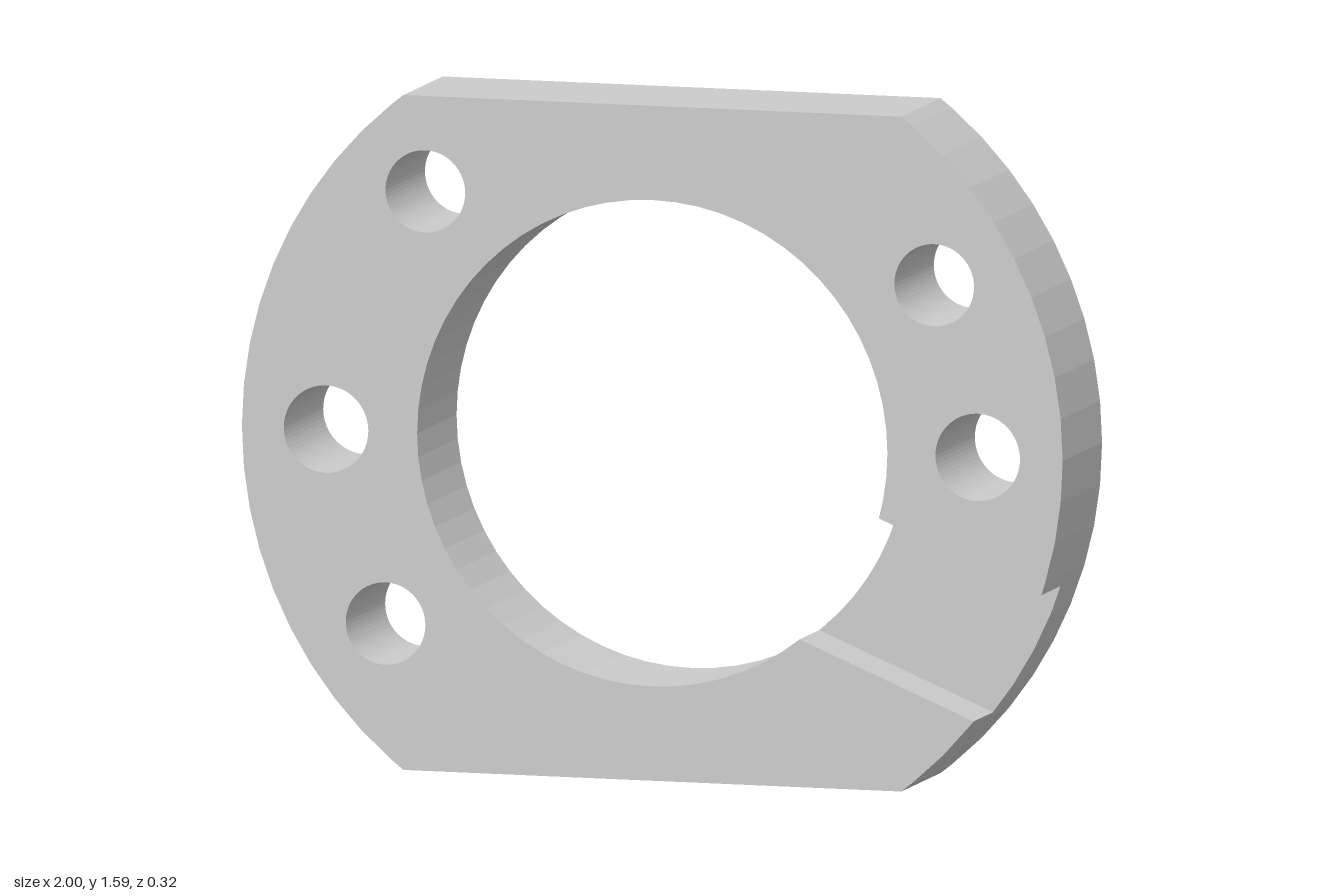
import * as THREE from 'three';

const CY = 0.795, R = 1, BORE = 0.573, HALF = 0.158;
const STEP = Math.PI / 32;
const FLAT = Math.asin(CY / R); // angle where the rim meets the flats
const SLOT_DIR = -Math.PI / 8, SLOT_TOP = 0.069, SLOT_BOTTOM = -0.2755;

// Points along an arc, on a fixed angular grid plus the exact ends
function arc(r, from, to, cx = 0, cy = CY) {
  const s = Math.sign(to - from), angles = [from];
  for (let k = Math.floor((s * from) / STEP) + 1; k * STEP < s * to - 1e-6; k++) {
    if (k * STEP > s * from + 1e-6) angles.push(s * k * STEP);
  }
  angles.push(to);
  return angles.map(a => new THREE.Vector2(cx + r * Math.cos(a), cy + r * Math.sin(a)));
}

// Angle at which a slot wall with the given offset crosses a circle
const slotAngle = (offset, r) => SLOT_DIR + Math.asin(offset / r);

function addHoles(shape) {
  const holes = [
    [-0.795, 0.795, 0.103], [0.793, 0.795, 0.103],
    [-0.553, 1.365, 0.097], [0.687, 1.196, 0.097], [-0.65, 0.343, 0.097],
  ];
  for (const [x, y, r] of holes) {
    shape.holes.push(new THREE.Path(arc(r, 0, 2 * Math.PI, x, y).slice(0, -1)));
  }
  return shape;
}

function layer(name, shape, z, material) {
  const geometry = new THREE.ExtrudeGeometry(addHoles(shape), { depth: HALF, bevelEnabled: false });
  geometry.translate(0, 0, z);
  const mesh = new THREE.Mesh(geometry, material);
  mesh.name = name;
  return mesh;
}

export function createModel() {
  const group = new THREE.Group();
  group.name = 'flangeRing';
  const material = new THREE.MeshStandardMaterial({ color: 0xcccccc, flatShading: true });

  // Back half: full ring with flats at top and bottom
  const back = new THREE.Shape([
    ...arc(R, -FLAT, FLAT),
    ...arc(R, Math.PI - FLAT, Math.PI + FLAT),
  ]);
  back.holes.push(new THREE.Path(arc(BORE, 0, 2 * Math.PI).slice(0, -1)));
  group.add(layer('backRing', back, -HALF, material));

  // Front half: same ring, cut through by the slanted slot
  const front = new THREE.Shape([
    ...arc(R, slotAngle(SLOT_TOP, R), FLAT),
    ...arc(R, Math.PI - FLAT, Math.PI + FLAT),
    ...arc(R, 2 * Math.PI - FLAT, 2 * Math.PI + slotAngle(SLOT_BOTTOM, R)),
    ...arc(BORE, 2 * Math.PI + slotAngle(SLOT_BOTTOM, BORE), slotAngle(SLOT_TOP, BORE)),
  ]);
  group.add(layer('slottedFrontRing', front, 0, material));
  return group;
}
